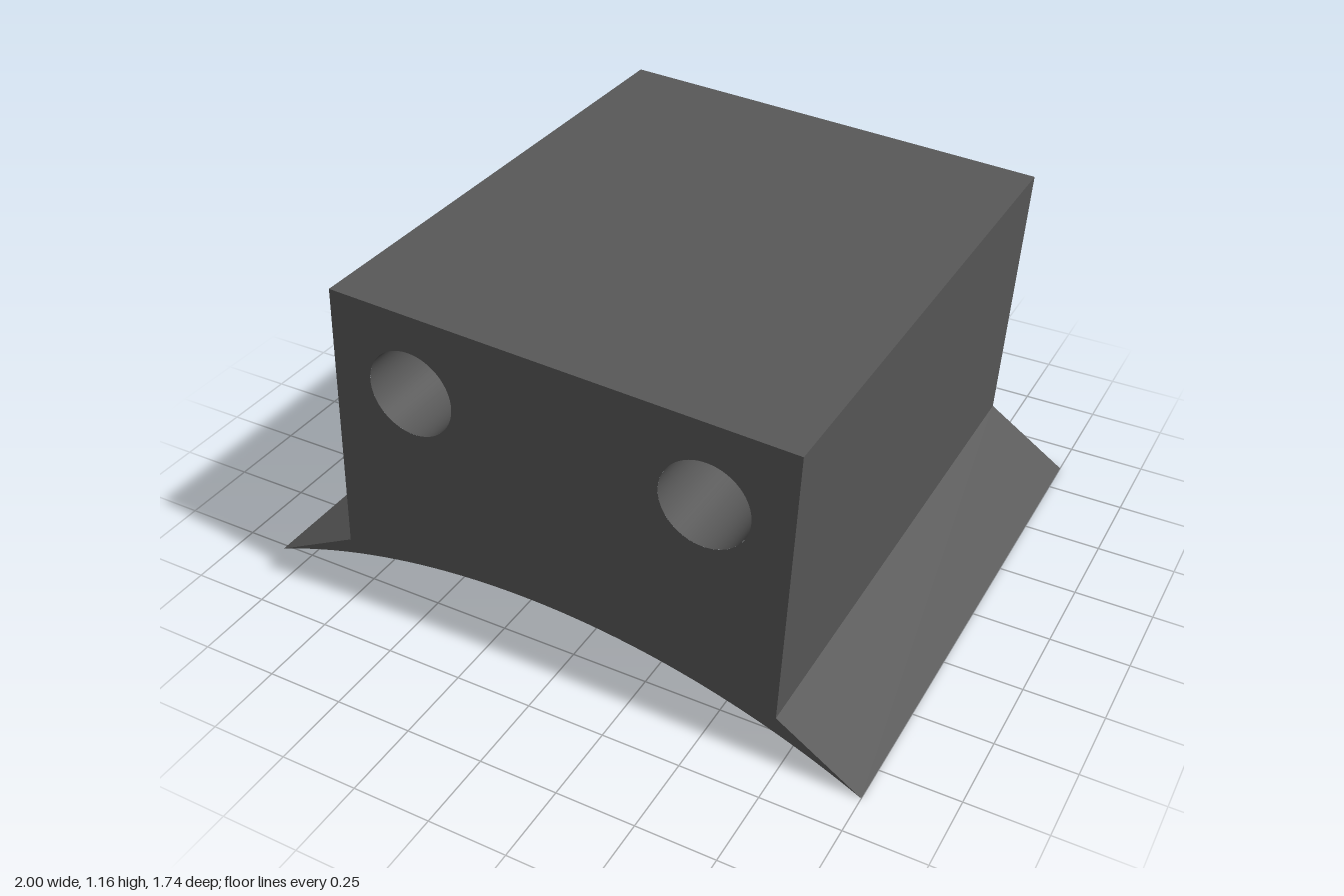
import * as THREE from 'three';
import { toCreasedNormals } from 'three/addons/utils/BufferGeometryUtils.js';

const COLOR = 0x585858;   // dark charcoal
const HALF = 0.87;        // half length along z
const HOLE_R = 0.138;
const HOLE_DEPTH = 1.2;   // blind holes, open at the front only
const SEGMENTS = 48;
const HOLES = [[-0.422, 0.885], [0.507, 0.833]];

// Tilted block with thin flanges over a curved saddle
function profile() {
  const cx = -0.12, cy = -2.066, r = 2.35;
  const shape = new THREE.Shape();
  shape.absarc(cx, cy, r, Math.atan2(-cy, 1 - cx), Math.atan2(0.113 - cy, -1 - cx), false);
  shape.lineTo(-0.715, 0.258);
  shape.lineTo(-0.668, 1.158);
  shape.lineTo(0.783, 1.081);
  shape.lineTo(0.734, 0.179);
  shape.closePath();
  return shape;
}

// Extruded side walls only, without the end caps
function wallGeometry(shape) {
  const full = new THREE.ExtrudeGeometry(shape, { depth: 2 * HALF, bevelEnabled: false, curveSegments: SEGMENTS });
  const { start, count } = full.groups[1];
  const walls = new THREE.BufferGeometry();
  const positions = full.attributes.position.array.slice(start * 3, (start + count) * 3);
  walls.setAttribute('position', new THREE.BufferAttribute(positions, 3));
  return toCreasedNormals(walls, 0.4).translate(0, 0, -HALF);
}

export function createModel() {
  const model = new THREE.Group();
  model.name = 'saddleBlock';
  const material = new THREE.MeshStandardMaterial({ color: COLOR });
  const boreMaterial = new THREE.MeshStandardMaterial({ color: COLOR, side: THREE.BackSide });
  const add = (name, geometry, mat = material) => {
    const mesh = new THREE.Mesh(geometry, mat);
    mesh.name = name;
    model.add(mesh);
    return mesh;
  };

  // Outer walls, flanges and curved underside
  add('bodyWalls', wallGeometry(profile()));

  // Solid back face, wound to face backwards
  const back = new THREE.ShapeGeometry(profile(), SEGMENTS);
  const index = back.index.array;
  for (let i = 0; i < index.length; i += 3) [index[i], index[i + 1]] = [index[i + 1], index[i]];
  back.computeVertexNormals();
  add('backFace', back).position.z = -HALF;

  // Front face pierced by the two holes
  const frontShape = profile();
  for (const [x, y] of HOLES) {
    frontShape.holes.push(new THREE.Path().absarc(x, y, HOLE_R, 0, Math.PI * 2, true));
  }
  add('frontFace', new THREE.ShapeGeometry(frontShape, SEGMENTS)).position.z = HALF;

  // Bore walls and floors
  HOLES.forEach(([x, y], i) => {
    const side = i === 0 ? 'right' : 'left';
    const bore = new THREE.CylinderGeometry(HOLE_R, HOLE_R, HOLE_DEPTH, SEGMENTS, 1, true).rotateX(Math.PI / 2);
    add(side + 'HoleWall', bore, boreMaterial).position.set(x, y, HALF - HOLE_DEPTH / 2);
    add(side + 'HoleFloor', new THREE.CircleGeometry(HOLE_R, SEGMENTS)).position.set(x, y, HALF - HOLE_DEPTH);
  });

  return model;
}
